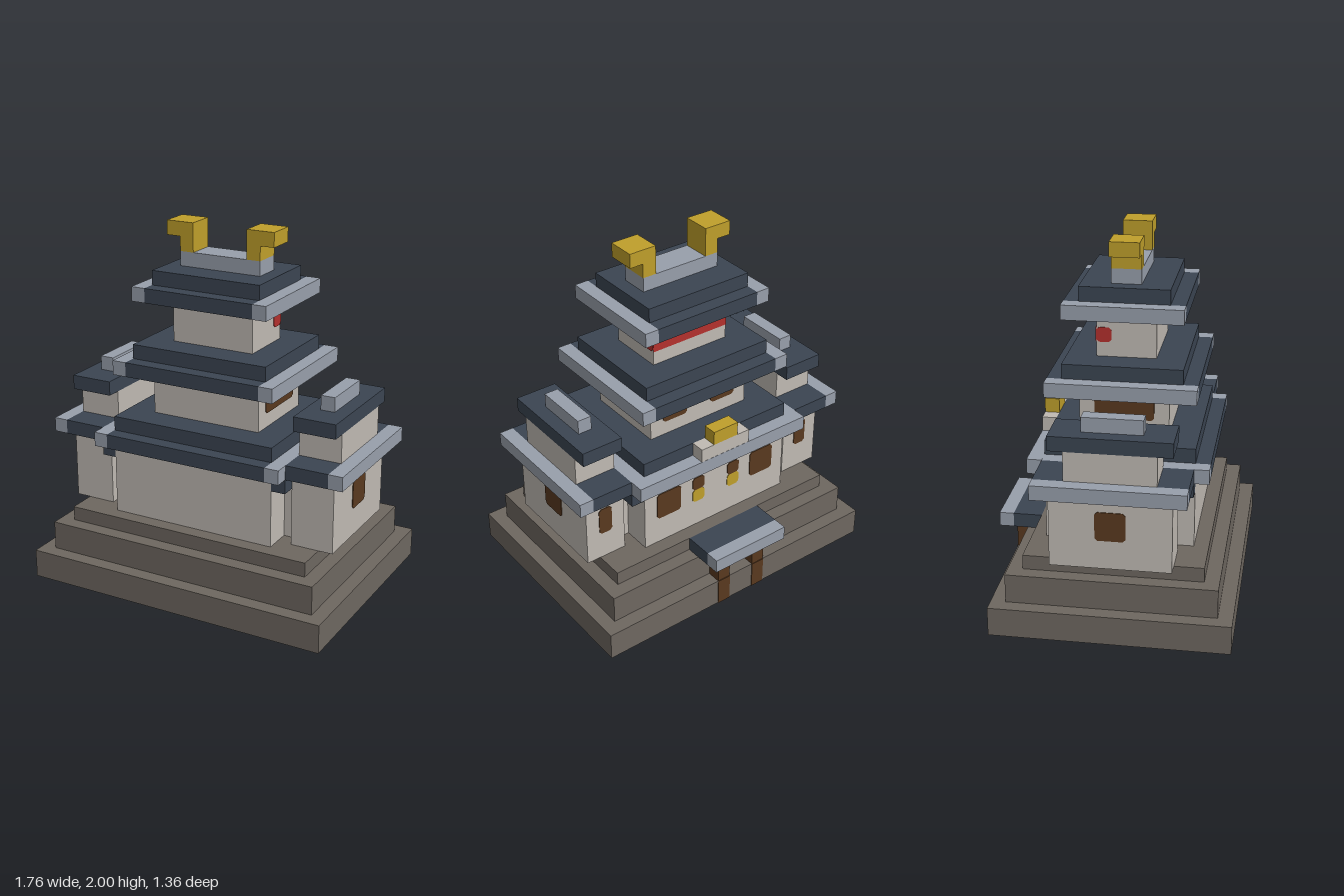
import * as THREE from 'three';

const mat = (name, color) => {
  const m = new THREE.MeshStandardMaterial({ color });
  m.name = name;
  return m;
};

export function createModel() {
  const root = new THREE.Group();
  root.name = 'castle';
  const stone = mat('stone', 0x6e6760), wall = mat('plaster', 0xc0bab3), roof = mat('slate', 0x3b4552),
    trim = mat('eaveTrim', 0x989fab), gold = mat('gold', 0xbf9f2b), wood = mat('wood', 0x59391f), red = mat('red', 0xb4302d);

  const add = (name, geo, m) => {
    const mesh = new THREE.Mesh(geo, m);
    mesh.name = name;
    root.add(mesh);
    return mesh;
  };
  // Box given by its minimum and maximum on each axis
  const box = (name, m, x0, x1, y0, y1, z0, z1) =>
    add(name, new THREE.BoxGeometry(x1 - x0, y1 - y0, z1 - z0), m)
      .position.set((x0 + x1) / 2, (y0 + y1) / 2, (z0 + z1) / 2);
  // The same box on both sides of the model
  const pair = (name, m, x0, x1, ...r) => {
    box(name + 'Left', m, x0, x1, ...r);
    box(name + 'Right', m, -x1, -x0, ...r);
  };
  // Thin plate with clipped corners; facing is its turn about y
  const plate = (name, m, w, h, x, y, z, facing) => {
    const a = w / 2, b = h / 2, c = 0.014;
    const s = new THREE.Shape([[-a + c, -b], [a - c, -b], [a, -b + c], [a, b - c],
      [a - c, b], [-a + c, b], [-a, b - c], [-a, -b + c]].map(p => new THREE.Vector2(...p)));
    const p = add(name, new THREE.ExtrudeGeometry(s, { depth: 0.004, bevelEnabled: false }), m);
    p.position.set(x, y, z);
    p.rotation.y = facing;
  };
  const BACK = Math.PI, SIDE = Math.PI / 2;

  // Stone base: two hollow tiers closed by a solid one
  const frame = (name, hx, z0, z1, y0) => {
    const rect = (T, h, a, b) => new T([[-h, -b], [h, -b], [h, -a], [-h, -a]].map(p => new THREE.Vector2(...p)));
    const s = rect(THREE.Shape, hx, z0, z1);
    s.holes.push(rect(THREE.Path, 0.64, -0.36, 0.44));
    const g = new THREE.ExtrudeGeometry(s, { depth: 0.16, bevelEnabled: false }).rotateX(-Math.PI / 2);
    add(name, g, stone).position.y = y0;
  };
  frame('baseLower', 0.88, -0.6, 0.68, 0);
  frame('baseMiddle', 0.8, -0.52, 0.6, 0.16);
  box('baseTop', stone, -0.72, 0.72, 0.32, 0.4, -0.44, 0.52);

  // Three storeys, each with a trimmed eave and a smaller roof layer
  const storey = (name, y0, y1, hx, z0, z1, ex, ez0, ez1, rx) => {
    box(name + 'Wall', wall, -hx, hx, y0, y1, z0, z1);
    box(name + 'Eave', roof, -ex, ex, y1, y1 + 0.08, ez0, ez1);
    pair(name + 'EaveTrim', trim, ex, ex + 0.08, y1, y1 + 0.08, ez0, ez1);
    box(name + 'Roof', roof, -rx, rx, y1 + 0.08, y1 + 0.16, ez0 + 0.08, ez1 - 0.08);
  };
  storey('lower', 0.4, 0.8, 0.48, -0.36, 0.44, 0.48, -0.44, 0.52, 0.48);
  storey('middle', 0.96, 1.2, 0.32, -0.2, 0.28, 0.4, -0.36, 0.44, 0.4);
  storey('upper', 1.36, 1.6, 0.24, -0.12, 0.2, 0.32, -0.28, 0.36, 0.32);
  box('lowerBackTrim', trim, -0.56, 0.56, 0.799, 0.881, -0.441, -0.36);

  // Ridge and its hooked gold ornaments
  box('ridge', trim, -0.24, 0.24, 1.76, 1.84, -0.04, 0.12);
  pair('ornamentStem', gold, 0.16, 0.24, 1.84, 1.92, -0.04, 0.12);
  pair('ornamentHead', gold, 0.16, 0.32, 1.92, 2.0, -0.04, 0.12);

  // Side wings
  pair('wingWall', wall, 0.56, 0.8, 0.4, 0.8, -0.28, 0.36);
  pair('wingLink', wall, 0.48, 0.56, 0.4, 0.72, -0.2, 0.28);
  pair('wingInnerEave', roof, 0.48, 0.56, 0.72, 0.8, -0.36, 0.44);
  pair('wingEave', roof, 0.56, 0.8, 0.8, 0.88, -0.36, 0.44);
  pair('wingEaveTrim', trim, 0.8, 0.88, 0.8, 0.88, -0.36, 0.44);
  pair('wingUpperWall', wall, 0.56, 0.8, 0.88, 1.04, -0.2, 0.28);
  pair('wingRoof', roof, 0.56, 0.8, 1.04, 1.12, -0.28, 0.36);
  pair('wingRidge', trim, 0.64, 0.72, 1.12, 1.2, -0.12, 0.2);

  // Crest over the back eave
  box('crestBase', wall, -0.16, 0.16, 0.88, 0.96, -0.44, -0.36);
  box('crest', gold, -0.08, 0.08, 0.96, 1.04, -0.44, -0.36);

  // Gate with its small roof
  box('gateRoof', roof, -0.24, 0.24, 0.32, 0.4, -0.6, -0.44);
  box('gateRoofTrim', trim, -0.24, 0.24, 0.32, 0.4, -0.68, -0.6);
  box('gateLintel', wood, -0.08, 0.08, 0.24, 0.32, -0.6, -0.52);
  pair('gatePost', wood, 0.08, 0.16, 0.16, 0.32, -0.6, -0.52);
  pair('gatePostFoot', wood, 0.08, 0.16, 0, 0.16, -0.604, -0.6);

  // Windows and the red balcony band
  for (const s of [-1, 1]) {
    plate('lowerWindow', wood, 0.16, 0.16, s * 0.32, 0.64, -0.36, BACK);
    plate('lanternWindow', wood, 0.08, 0.08, s * 0.12, 0.68, -0.36, BACK);
    plate('lantern', gold, 0.08, 0.08, s * 0.12, 0.6, -0.36, BACK);
    plate('wingBackWindow', wood, 0.08, 0.16, s * 0.68, 0.64, -0.28, BACK);
    plate('wingSideWindow', wood, 0.16, 0.16, s * 0.8, 0.64, 0.04, s * SIDE);
    plate('middleWindow', wood, 0.16, 0.16, s * 0.16, 1.12, -0.2, BACK);
    plate('middleSideWindow', wood, 0.32, 0.16, s * 0.32, 1.12, 0.04, s * SIDE);
    plate('upperWindow', gold, 0.08, 0.08, s * 0.12, 1.56, -0.12, BACK);
    plate('balconySide', red, 0.08, 0.08, s * 0.24, 1.48, -0.08, s * SIDE);
  }
  box('balconyBand', red, -0.24, 0.24, 1.44, 1.52, -0.124, -0.12);

  return root;
}
